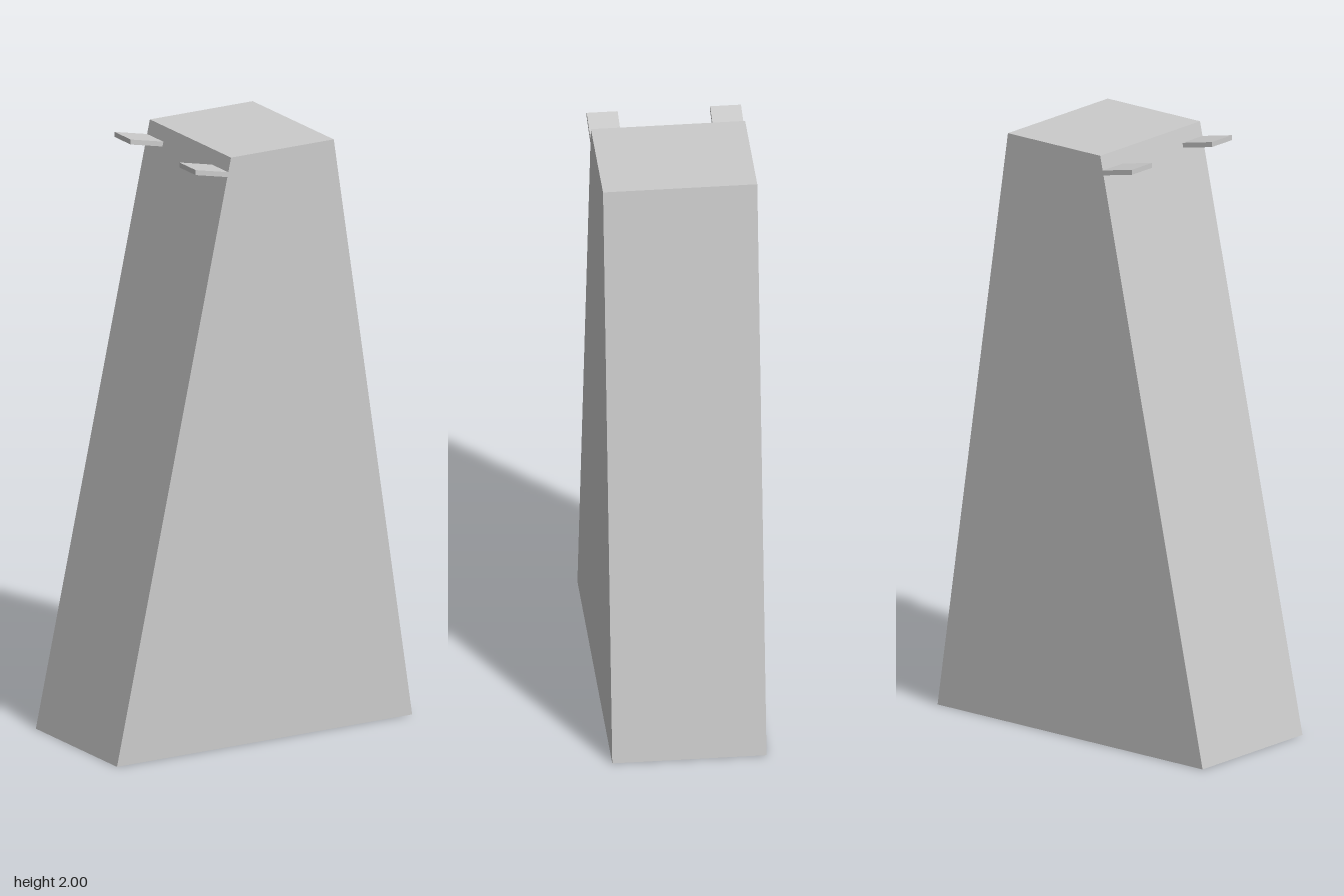
import * as THREE from 'three';

const material = new THREE.MeshStandardMaterial({ color: 0xcccccc, flatShading: true });

// Extrudes a front outline (x, y) from zBack over the given depth
function slab(name, points, zBack, depth) {
  const shape = new THREE.Shape(points.map(([x, y]) => new THREE.Vector2(x, y)));
  const geometry = new THREE.ExtrudeGeometry(shape, { depth, bevelEnabled: false });
  geometry.translate(0, 0, zBack);
  const mesh = new THREE.Mesh(geometry, material);
  mesh.name = name;
  return mesh;
}

export function createModel() {
  const group = new THREE.Group();
  group.name = 'taperedTower';

  // Tapered body with unequal side slopes
  const halfDepth = 0.252;
  group.add(slab('body', [[-0.563, 0], [0.563, 0], [0.264, 2], [-0.128, 2]], -halfDepth, 2 * halfDepth));

  // Two thin tabs tilting up from the sloped side, flush with front and back
  const tabWidth = 0.101;
  const tabOutline = [[-0.263, 1.962], [-0.141, 1.936], [-0.138, 1.952], [-0.263, 1.979]];
  group.add(slab('backTab', tabOutline, -halfDepth, tabWidth));
  group.add(slab('frontTab', tabOutline, halfDepth - tabWidth, tabWidth));

  return group;
}
